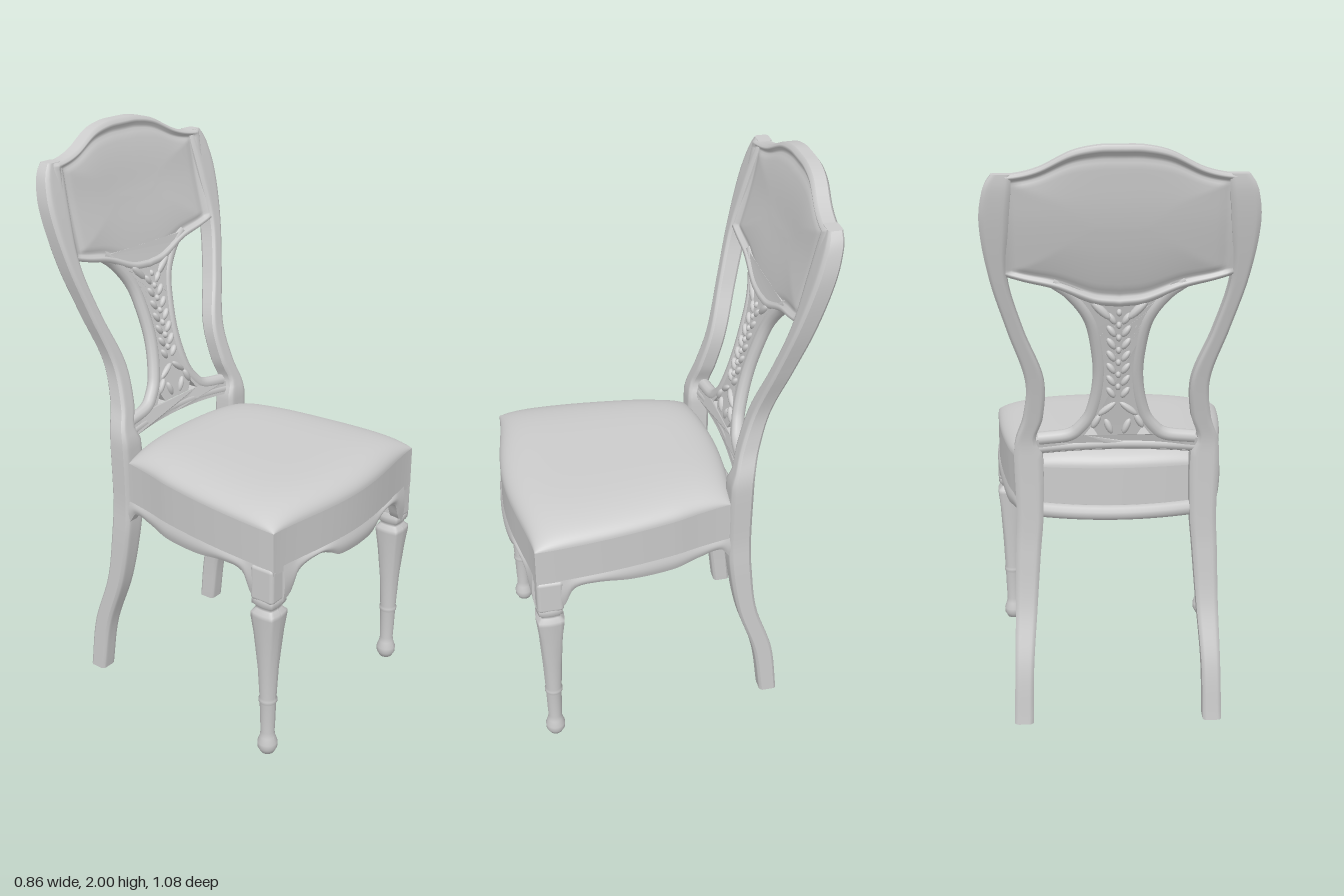
import * as THREE from 'three';
import { mergeGeometries } from 'three/addons/utils/BufferGeometryUtils.js';
import { RoundedBoxGeometry } from 'three/addons/geometries/RoundedBoxGeometry.js';

const V = (x, y, z) => new THREE.Vector3(x, y, z);
const lerp = THREE.MathUtils.lerp;

// Smooth interpolation through rows of [key, value, value, ...]
function curve(rows) {
  const slope = (i, k) => {
    const a = rows[Math.max(i - 1, 0)], b = rows[Math.min(i + 1, rows.length - 1)];
    return (b[k] - a[k]) / (b[0] - a[0]);
  };
  return (t, k = 1) => {
    let i = 0;
    while (i < rows.length - 2 && t > rows[i + 1][0]) i++;
    const a = rows[i], b = rows[i + 1], h = b[0] - a[0];
    const s = THREE.MathUtils.clamp((t - a[0]) / h, 0, 1), s2 = s * s, s3 = s2 * s;
    return (2 * s3 - 3 * s2 + 1) * a[k] + (s3 - 2 * s2 + s) * h * slope(i, k)
      + (3 * s2 - 2 * s3) * b[k] + (s3 - s2) * h * slope(i + 1, k);
  };
}

// Closed curved block: f(u, v, s) with u, v, s in -1..1, right-handed
function slab(nu, nv, f) {
  const face = (n, m, fn) => {
    const g = new THREE.PlaneGeometry(2, 2, n, m), p = g.attributes.position;
    for (let i = 0; i < p.count; i++) {
      const q = fn(p.getX(i), p.getY(i));
      p.setXYZ(i, q.x, q.y, q.z);
    }
    g.computeVertexNormals();
    return g;
  };
  return mergeGeometries([
    face(nu, nv, (a, b) => f(a, b, 1)), face(nu, nv, (a, b) => f(-a, b, -1)),
    face(1, nv, (a, b) => f(1, b, -a)), face(1, nv, (a, b) => f(-1, b, a)),
    face(nu, 1, (a, b) => f(a, 1, -b)), face(nu, 1, (a, b) => f(a, -1, b)),
  ]);
}

// Copy reflected in x
function mirrored(geo) {
  const g = geo.index ? geo.toNonIndexed() : geo.clone();
  g.scale(-1, 1, 1);
  for (const name of ['position', 'normal']) {
    const a = g.attributes[name];
    for (let i = 0; i < a.count; i += 3) {
      const p = V().fromBufferAttribute(a, i + 1), q = V().fromBufferAttribute(a, i + 2);
      a.setXYZ(i + 1, q.x, q.y, q.z);
      a.setXYZ(i + 2, p.x, p.y, p.z);
    }
  }
  const n = g.attributes.normal;
  for (let i = 0; i < n.count; i++) {
    const p = V().fromBufferAttribute(n, i).normalize();
    n.setXYZ(i, p.x, p.y, p.z);
  }
  return g;
}

export function createModel() {
  const group = new THREE.Group();
  const material = new THREE.MeshStandardMaterial({ color: 0xcccccc });
  const add = (name, geo) => {
    const m = new THREE.Mesh(geo, material);
    m.name = name;
    group.add(m);
  };
  const addPair = (name, geo) => {
    add(name + 'Left', geo);
    add(name + 'Right', mirrored(geo));
  };

  // Raked, slightly hollow middle surface of the backrest
  const rake = curve([[0.95, -0.245], [1.25, -0.315], [1.6, -0.41], [1.76, -0.45], [1.9, -0.475], [2, -0.495]]);
  const backZ = (x, y) => rake(y) - 0.022 * (1 - (x / 0.4) ** 2);

  // Rear legs running up into the curved stiles: y, inner x, outer x, front z, back z
  const stile = curve([
    [0, 0.295, 0.36, -0.345, -0.41], [0.2, 0.29, 0.355, -0.315, -0.385], [0.4, 0.275, 0.35, -0.25, -0.32],
    [0.6, 0.26, 0.345, -0.215, -0.295], [0.72, 0.25, 0.34, -0.21, -0.29], [0.95, 0.25, 0.345, -0.21, -0.29],
    [1, 0.272, 0.338, -0.222, -0.293], [1.08, 0.247, 0.312, -0.243, -0.31], [1.22, 0.242, 0.302, -0.283, -0.345],
    [1.4, 0.305, 0.355, -0.33, -0.395], [1.58, 0.35, 0.405, -0.375, -0.445], [1.76, 0.34, 0.43, -0.42, -0.49],
    [1.87, 0.33, 0.415, -0.45, -0.51], [1.91, 0.33, 0.39, -0.462, -0.51]]);
  addPair('rearLegAndStile', slab(10, 80, (u, v, s) => {
    const y = (v + 1) / 2 * 1.91, a = stile(y, 3), b = stile(y, 4);
    const half = (a - b) / 2 * (1 - 0.3 * u ** 8);
    return V(lerp(stile(y, 1), stile(y, 2), (u + 1) / 2), y, (a + b) / 2 + s * half);
  }));

  // Padded top panel with a raised rim
  const panelTop = curve([[0, 2], [0.07, 1.998], [0.15, 1.98], [0.25, 1.93], [0.33, 1.91], [0.4, 1.91]]);
  const panelBottom = curve([[0, 1.485], [0.08, 1.495], [0.2, 1.545], [0.3, 1.57], [0.4, 1.6]]);
  const relief = curve([[0, 0.02], [0.03, 0.029], [0.08, 0.028], [0.13, 0.015], [0.25, 0.022], [0.6, 0.029], [1, 0.031]]);
  add('topPanel', slab(56, 48, (u, v, s) => {
    const x = 0.375 * u;
    const y = lerp(panelBottom(Math.abs(x)), panelTop(Math.abs(x)), (v + 1) / 2);
    const edge = Math.min((1 - Math.abs(u)) * 1.3, 1 - Math.abs(v));
    return V(x, y, backZ(x, y) + s * relief(edge));
  }));

  // Waisted, pierced splat with its bottom rail
  const waist = curve([[1, 0.27], [1.012, 0.18], [1.04, 0.135], [1.1, 0.095], [1.23, 0.07], [1.36, 0.08], [1.45, 0.105], [1.53, 0.165], [1.57, 0.22]]);
  const sidePts = [];
  for (let i = 0; i <= 40; i++) {
    const y = 1 + 0.57 * i / 40;
    sidePts.push(new THREE.Vector2(waist(y), y));
  }
  const railPts = [];
  for (let i = 0; i <= 20; i++) {
    const x = -0.27 + 0.027 * i;
    railPts.push(new THREE.Vector2(x, 0.968 - 0.018 * (x / 0.27) ** 2));
  }
  const flip = (pts) => pts.map((p) => new THREE.Vector2(-p.x, p.y)).reverse();
  const shape = new THREE.Shape([...railPts, ...sidePts, ...flip(sidePts)]);
  for (const s of [-1, 1]) {
    shape.holes.push(new THREE.Path([V(s * 0.065, 1.02), V(s * 0.11, 1.02), V(s * 0.085, 1.055)]
      .map((p) => new THREE.Vector2(p.x, p.y))));
  }
  const splat = new THREE.ExtrudeGeometry(shape, { depth: 0.036, bevelEnabled: false, steps: 1 });
  const sp = splat.attributes.position;
  for (let i = 0; i < sp.count; i++) {
    sp.setZ(i, sp.getZ(i) - 0.018 + backZ(sp.getX(i), sp.getY(i)));
  }
  splat.computeVertexNormals();
  add('splat', splat);

  // Rounded mouldings along the splat edges and the rail
  const beading = (pts, r) => new THREE.TubeGeometry(
    new THREE.CatmullRomCurve3(pts.map((p) => V(p.x, p.y, backZ(p.x, p.y)))), 50, r, 10);
  addPair('splatMoulding', beading(sidePts.map((p) => new THREE.Vector2(p.x - 0.01, p.y)), 0.023));
  add('bottomRailMoulding', beading(railPts.map((p) => new THREE.Vector2(p.x, p.y + 0.015)), 0.021));

  // Carved leaves and beads on both faces of the splat
  const carvings = [];
  const carve = (x, y, w, h, turn) => {
    for (const s of [-1, 1]) {
      carvings.push(new THREE.SphereGeometry(1, 10, 8).scale(w, h, 0.013).rotateZ(turn)
        .translate(x, y, backZ(x, y) + s * 0.018));
    }
  };
  for (let i = 0; i < 7; i++) {
    const y = 1.18 + 0.044 * i;
    for (const s of [-1, 1]) carve(s * 0.024, y, 0.011, 0.023, -s * 0.6);
    carve(0, y + 0.02, 0.009, 0.012, 0);
  }
  for (const s of [-1, 1]) {
    carve(s * 0.035, 1.12, 0.012, 0.038, s * 0.9);
    carve(s * 0.03, 1.055, 0.012, 0.03, -s * 0.4);
    carve(s * 0.07, 1.075, 0.012, 0.03, s * 0.5);
    carve(s * 0.06, 1.475, 0.014, 0.045, -s * 0.8);
  }
  add('splatCarving', mergeGeometries(carvings));

  // Domed seat, wider and bowed at the front
  const seatHalf = curve([[-0.25, 0.325], [-0.2, 0.33], [-0.1, 0.35], [0, 0.375], [0.2, 0.405], [0.4, 0.42], [0.53, 0.42]]);
  const frontZ = (u) => 0.485 + 0.047 * Math.cos(Math.PI / 2 * Math.min(1, Math.abs(u))) ** 1.5;
  add('seat', slab(48, 48, (a, b, s) => {
    const u = Math.sin(a * Math.PI / 2), v = Math.sin(b * Math.PI / 2);
    const z = lerp(frontZ(u), -0.21 - 0.04 * (1 - u * u), (v + 1) / 2);
    const dome = Math.sqrt(Math.max(0, (1 - u ** 4) * (1 - v ** 6)));
    const top = 0.868 + 0.015 * (v + 1) / 2 + 0.073 * dome;
    return V(u * seatHalf(z), s > 0 ? top : 0.715, z);
  }));

  // Scalloped aprons below the seat
  const frontHem = curve([[0, 0.668], [0.1, 0.675], [0.15, 0.7], [0.2, 0.715], [0.3, 0.69], [0.33, 0.63], [0.37, 0.6]]);
  add('frontApron', slab(60, 6, (u, v, s) => {
    const x = u * 0.37, t = (v + 1) / 2;
    const roll = 0.007 * Math.sin(Math.PI * t);
    return V(x, lerp(frontHem(Math.abs(x)), 0.735, t), frontZ(x / 0.42) + (s > 0 ? roll : -0.035));
  }));
  const sideHem = curve([[-0.215, 0.65], [-0.18, 0.695], [-0.1, 0.69], [0, 0.675], [0.15, 0.68], [0.28, 0.7], [0.36, 0.69], [0.39, 0.63], [0.42, 0.6]]);
  addPair('sideApron', slab(60, 6, (u, v, s) => {
    const z = lerp(0.42, -0.215, (u + 1) / 2), t = (v + 1) / 2;
    const roll = 0.006 * Math.sin(Math.PI * t);
    return V(seatHalf(z) + (s > 0 ? roll : -0.035), lerp(sideHem(z), 0.735, t), z);
  }));
  add('rearApron', new THREE.TubeGeometry(new THREE.QuadraticBezierCurve3(
    V(-0.28, 0.735, -0.235), V(0, 0.735, -0.33), V(0.28, 0.735, -0.235)), 24, 0.026, 10));

  // Turned front legs, squarer toward the top, under corner blocks
  const leg = new THREE.LatheGeometry([
    [0, 0], [0.024, 0.003], [0.034, 0.022], [0.035, 0.042], [0.027, 0.065], [0.024, 0.085], [0.026, 0.13],
    [0.028, 0.2], [0.032, 0.207], [0.032, 0.217], [0.029, 0.225], [0.034, 0.34], [0.042, 0.48], [0.049, 0.545],
    [0.049, 0.56], [0.036, 0.572], [0.036, 0.582], [0.046, 0.592], [0.046, 0.61], [0.038, 0.63],
  ].map(([r, y]) => new THREE.Vector2(r, y)), 32);
  const lp = leg.attributes.position;
  for (let i = 0; i < lp.count; i++) {
    const x = lp.getX(i), z = lp.getZ(i), r = Math.hypot(x, z) || 1;
    const square = THREE.MathUtils.smoothstep(lp.getY(i), 0.25, 0.55) * 0.6;
    const k = 1 + square * (1 / Math.max(Math.abs(x / r), Math.abs(z / r), 0.7) - 1);
    lp.setXYZ(i, x * k, lp.getY(i), z * k);
  }
  leg.computeVertexNormals();
  addPair('frontLeg', leg.translate(0.381, 0, 0.441));
  addPair('frontLegBlock', new RoundedBoxGeometry(0.085, 0.13, 0.092, 3, 0.014).translate(0.384, 0.67, 0.44));
  return group;
}
